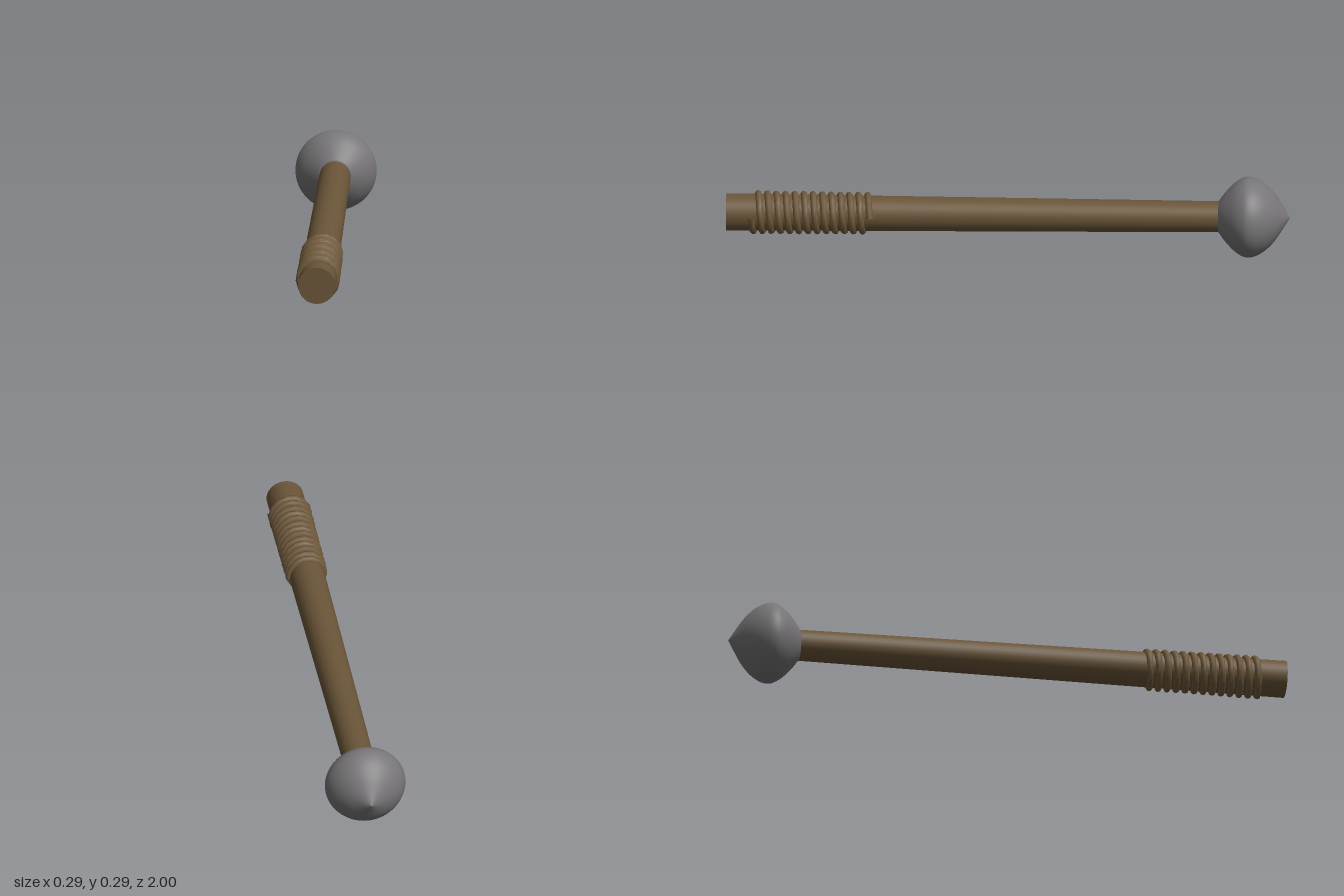
import * as THREE from 'three';

const AXIS_Y = 0.145; // height of the long axis

export function createModel() {
  const group = new THREE.Group();
  const wood = new THREE.MeshStandardMaterial({ name: 'brown wood', color: 0x6a5538 });
  const cord = new THREE.MeshStandardMaterial({ name: 'brown cord', color: 0x705a3c });
  const steel = new THREE.MeshStandardMaterial({ name: 'grey metal', color: 0x777577 });

  const add = (name, geometry, material) => {
    const mesh = new THREE.Mesh(geometry, material);
    mesh.name = name;
    mesh.position.y = AXIS_Y;
    group.add(mesh);
    return mesh;
  };

  // Shaft, slightly thicker at the grip end
  const shaft = new THREE.CylinderGeometry(0.066, 0.055, 1.78, 32);
  shaft.rotateX(Math.PI / 2);
  shaft.translate(0, 0, 0.11);
  add('shaft', shaft, wood);

  // Pointed onion-shaped head: [radius, distance towards the tip]
  const outline = new THREE.SplineCurve([
    [0.054, 0.745], [0.088, 0.77], [0.122, 0.803], [0.14, 0.832], [0.144, 0.853],
    [0.138, 0.879], [0.119, 0.911], [0.086, 0.944], [0.045, 0.972], [0, 1],
  ].map(([r, d]) => new THREE.Vector2(r, d)));
  const points = outline.getPoints(36);
  points[points.length - 1].x = 0;
  const head = new THREE.LatheGeometry([new THREE.Vector2(0, 0.745), ...points], 64);
  head.rotateX(-Math.PI / 2);
  add('head', head, steel);

  // Cord wound around the grip
  const turns = 13, perTurn = 14, path = [];
  for (let i = 0; i <= turns * perTurn; i++) {
    const a = (i / perTurn) * Math.PI * 2;
    const t = i / (turns * perTurn);
    const r = 0.064 + 0.003 * t;
    path.push(new THREE.Vector3(Math.cos(a) * r, Math.sin(a) * r, 0.49 + 0.42 * t));
  }
  const curve = new THREE.CatmullRomCurve3(path);
  add('gripCord', new THREE.TubeGeometry(curve, turns * perTurn, 0.012, 8), cord);

  return group;
}
